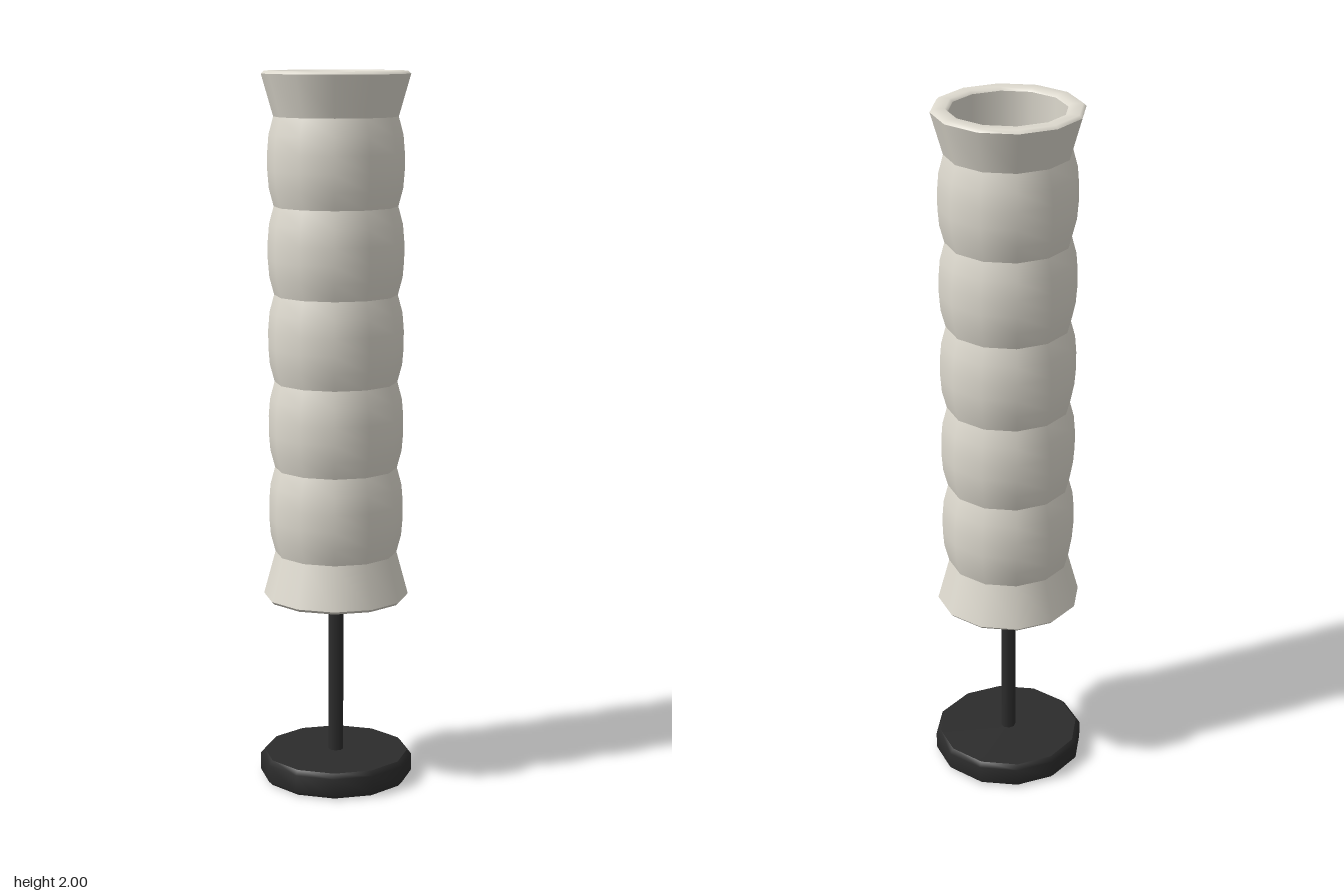
import * as THREE from 'three';

const paper = new THREE.MeshStandardMaterial({ name: 'warm white paper', color: 0xdedacf });
const black = new THREE.MeshStandardMaterial({ name: 'black stand', color: 0x2c2c2c });
const metal = new THREE.MeshStandardMaterial({ name: 'grey metal', color: 0x999999 });

const SIDES = 12;

function add(parent, name, geometry, material, y = 0) {
  const mesh = new THREE.Mesh(geometry, material);
  mesh.name = name;
  mesh.position.y = y;
  parent.add(mesh);
  return mesh;
}

// Turned section from [radius, height] pairs, smooth within itself
function turn(parent, name, profile, material) {
  const points = profile.map(([r, y]) => new THREE.Vector2(r, y));
  return add(parent, name, new THREE.LatheGeometry(points, SIDES), material);
}

export function createModel() {
  const model = new THREE.Group();
  model.name = 'floorLamp';

  // Stand: bevelled disc and pole
  const stand = new THREE.Group();
  stand.name = 'stand';
  model.add(stand);
  turn(stand, 'baseUnderside', [[0, 0], [0.205, 0]], black);
  turn(stand, 'baseEdge', [[0.205, 0], [0.217, 0.012], [0.217, 0.06], [0.205, 0.073]], black);
  turn(stand, 'baseTop', [[0.205, 0.073], [0, 0.075]], black);
  add(stand, 'pole', new THREE.CylinderGeometry(0.021, 0.021, 1.2, 8), black, 0.66);

  // Shade: flared ends, five bulges with sharp creases between them
  const shade = new THREE.Group();
  shade.name = 'shade';
  model.add(shade);
  const bottom = 0.53, top = 2, low = 0.66, high = 1.877;
  const neck = 0.171, flare = 0.204, inner = 0.157, bulges = 5;
  const step = (high - low) / bulges;
  turn(shade, 'bottomRim', [[inner, bottom + 0.008], [0.165, bottom], [0.196, bottom], [flare, bottom + 0.008]], paper);
  turn(shade, 'bottomFlare', [[flare, bottom + 0.008], [neck, low]], paper);
  for (let i = 0; i < bulges; i++) {
    const y = low + i * step;
    const profile = [[0, neck], [0.2, 0.184], [0.4, 0.188], [0.6, 0.188], [0.8, 0.184], [1, neck]]
      .map(([t, r]) => [r, y + t * step]);
    turn(shade, 'bulge' + (i + 1), profile, paper);
  }
  turn(shade, 'topFlare', [[neck, high], [flare, top - 0.008]], paper);
  turn(shade, 'topRim', [[flare, top - 0.008], [0.196, top], [0.165, top], [inner, top - 0.008]], paper);
  turn(shade, 'innerWall', [[inner, top - 0.008], [inner, bottom + 0.008]], paper);

  // Crossed bars holding the shade on the pole
  const barY = 1.24;
  for (const axis of ['x', 'z']) {
    const geometry = new THREE.CylinderGeometry(0.011, 0.011, 0.314, 4).toNonIndexed();
    geometry.computeVertexNormals();
    const bar = add(model, 'supportBar', geometry, metal, barY);
    if (axis === 'x') bar.rotation.z = Math.PI / 2;
    else bar.rotation.x = Math.PI / 2;
  }

  // Bulb on top of the pole
  add(model, 'bulb', new THREE.SphereGeometry(0.045, 10, 8), paper, barY + 0.05);

  return model;
}
